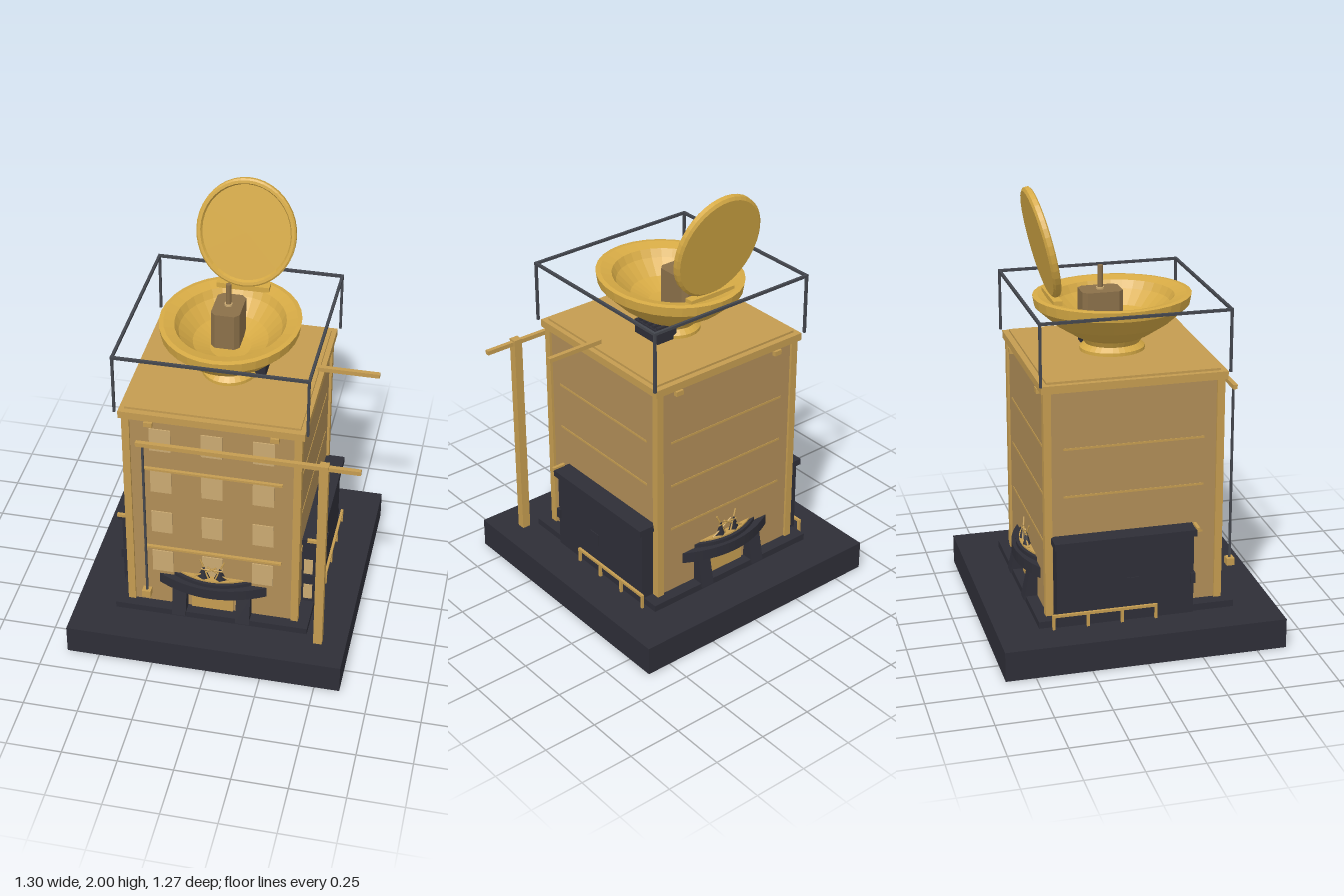
import * as THREE from 'three';

const mat = (name, color, extra = {}) => {
  const m = new THREE.MeshStandardMaterial({ color, ...extra });
  m.name = name;
  return m;
};

export function createModel() {
  const root = new THREE.Group();
  root.name = 'tower';
  const wall = mat('bronzeWall', 0xb08d57);
  const trim = mat('brassTrim', 0xc49c50);
  const gold = mat('goldBowl', 0xd6aa45, { flatShading: true, side: THREE.DoubleSide });
  const dark = mat('charcoal', 0x2e2e37);
  const pane = mat('paleWindow', 0xcaa971);
  const crate = mat('brownMachine', 0x8b7049);
  const rail = mat('slateRail', 0x43464d);

  // Everything but the cranes is centred on the tower's own axis
  const tower = new THREE.Group();
  tower.name = 'towerBody';
  tower.position.x = -0.0175;
  root.add(tower);

  const add = (parent, name, geo, m, x = 0, y = 0, z = 0) => {
    const mesh = new THREE.Mesh(geo, m);
    mesh.name = name;
    mesh.position.set(x, y, z);
    parent.add(mesh);
    return mesh;
  };
  // Box given by its limits on each axis
  const box = (parent, name, m, x0, x1, y0, y1, z0, z1) =>
    add(parent, name, new THREE.BoxGeometry(x1 - x0, y1 - y0, z1 - z0), m,
      (x0 + x1) / 2, (y0 + y1) / 2, (z0 + z1) / 2);
  // Thin square bar between two points
  const bar = (parent, name, m, a, b, r) => {
    const A = new THREE.Vector3(...a), B = new THREE.Vector3(...b);
    const mesh = add(parent, name, new THREE.CylinderGeometry(r, r, A.distanceTo(B), 6), m);
    mesh.position.copy(A).add(B).multiplyScalar(0.5);
    mesh.quaternion.setFromUnitVectors(new THREE.Vector3(0, 1, 0), B.sub(A).normalize());
    return mesh;
  };

  // Base, plinth, walls and roof
  box(tower, 'base', dark, -0.633, 0.633, 0, 0.137, -0.634, 0.634);
  box(tower, 'plinth', dark, -0.447, 0.447, 0.137, 0.168, -0.445, 0.445);
  box(tower, 'walls', wall, -0.385, 0.385, 0.168, 1.205, -0.392, 0.392);
  box(tower, 'roofSlab', trim, -0.409, 0.409, 1.205, 1.24, -0.413, 0.413);
  box(tower, 'roofDeck', trim, -0.386, 0.386, 1.24, 1.25, -0.386, 0.386);
  for (const sx of [-1, 1]) for (const sz of [-1, 1]) {
    add(tower, 'cornerPost', new THREE.BoxGeometry(0.034, 1.037, 0.034), trim, sx * 0.38, 0.6865, sz * 0.386);
    add(tower, 'eaveBracket', new THREE.BoxGeometry(0.038, 0.022, 0.02), trim, sx * 0.278, 1.183, sz * 0.4);
  }

  // Front windows and wall bands
  for (let c = -1; c <= 1; c++) for (let r = 0; r < 4; r++)
    add(tower, 'window', new THREE.BoxGeometry(0.095, 0.117, 0.008), pane, c * 0.23, 0.413 + r * 0.228, 0.393);
  for (const y of [0.495, 0.94])
    add(tower, 'frontBand', new THREE.BoxGeometry(0.63, 0.01, 0.02), trim, 0, y, 0.397);
  for (const y of [0.495, 0.72, 0.94]) {
    add(tower, 'backBand', new THREE.BoxGeometry(0.63, 0.01, 0.004), trim, 0, y, -0.392);
    for (const s of [-1, 1])
      add(tower, 'sideBand', new THREE.BoxGeometry(0.004, 0.01, 0.63), trim, s * 0.385, y, 0);
  }

  // Bow-fronted slab lying flat, bulging toward +z
  const bow = (half, z0, reach, h) => {
    const s = new THREE.Shape();
    s.moveTo(-half, -z0);
    s.quadraticCurveTo(0, -(2 * reach - z0), half, -z0);
    s.closePath();
    return new THREE.ExtrudeGeometry(s, { depth: h, bevelEnabled: false, curveSegments: 16 }).rotateX(-Math.PI / 2);
  };

  // Porch with ornament, on the front and the back
  const legShape = new THREE.Shape([[0.38, 0.15], [0.455, 0.15], [0.425, 0.29], [0.38, 0.29]]
    .map(([z, y]) => new THREE.Vector2(-z, y)));
  for (const side of [0, 1]) {
    const porch = new THREE.Group();
    porch.name = side ? 'backPorch' : 'frontPorch';
    porch.rotation.y = side * Math.PI;
    tower.add(porch);
    add(porch, 'porchSlab', bow(0.261, 0.385, 0.462, 0.052), dark, 0, 0.283, 0);
    add(porch, 'porchStep', bow(0.19, 0.385, 0.445, 0.018), dark, 0, 0.335, 0);
    add(porch, 'porchInlay', bow(0.16, 0.385, 0.43, 0.008), trim, 0, 0.353, 0);
    for (const s of [-1, 1]) {
      const geo = new THREE.ExtrudeGeometry(legShape, { depth: 0.065, bevelEnabled: false });
      geo.rotateY(Math.PI / 2).translate(s * 0.148 - 0.0325, 0, 0);
      add(porch, 'porchLeg', geo, dark);
      const cone = add(porch, 'ornamentPeak', new THREE.CylinderGeometry(0.004, 0.03, 0.06, 4), dark, s * 0.038, 0.391, 0.408);
      cone.scale.z = 0.6;
      bar(porch, 'ornamentStick', trim, [s * 0.085, 0.361, 0.41], [-s * 0.02, 0.425, 0.41], 0.004);
      bar(porch, 'ornamentStick', trim, [s * 0.015, 0.361, 0.415], [s * 0.055, 0.455, 0.4], 0.004);
    }
    bar(porch, 'ornamentBar', trim, [-0.05, 0.41, 0.41], [0.05, 0.41, 0.41], 0.004);
    box(porch, 'doorPanel', trim, -0.098, 0.095, 0.168, 0.285, 0.385, 0.4);
  }

  // Side annexes with small lit windows and a low fence
  for (const s of [-1, 1]) {
    const annex = new THREE.Group();
    annex.name = s > 0 ? 'leftAnnex' : 'rightAnnex';
    tower.add(annex);
    const sbox = (name, m, x0, x1, ...rest) =>
      box(annex, name, m, Math.min(s * x0, s * x1), Math.max(s * x0, s * x1), ...rest);
    sbox('annexBody', dark, 0.38, 0.456, 0.137, 0.515, -0.365, 0.255);
    sbox('annexRoof', dark, 0.38, 0.473, 0.51, 0.54, -0.375, 0.265);
    sbox('annexRoofTrim', trim, 0.41, 0.473, 0.535, 0.55, 0.262, 0.277);
    sbox('annexBelt', dark, 0.4, 0.465, 0.282, 0.33, 0.24, 0.262);
    for (const y of [0.187, 0.335])
      sbox('annexWindow', pane, 0.395, 0.436, y, y + 0.083, 0.253, 0.259);
    sbox('annexPlaque', dark, 0.45, 0.46, 0.28, 0.34, -0.05, 0.01);
    sbox('fenceRail', trim, 0.465, 0.477, 0.194, 0.206, -0.39, 0.085);
    for (let i = 0; i < 4; i++) {
      const z = 0.079 - i * 0.1543;
      sbox('fencePost', trim, 0.465, 0.477, 0.137, 0.2, z - 0.006, z + 0.006);
    }
  }

  // Roof railing: one top frame on four posts
  for (const s of [-1, 1]) {
    add(tower, 'railTop', new THREE.BoxGeometry(0.855, 0.012, 0.012), rail, 0, 1.52, s * 0.418);
    add(tower, 'railTop', new THREE.BoxGeometry(0.012, 0.012, 0.836), rail, s * 0.421, 1.52, 0);
    for (const z of [-0.418, 0.418])
      add(tower, 'railPost', new THREE.BoxGeometry(0.011, 0.28, 0.011), rail, s * 0.421, 1.382, z);
  }

  // Oval bowl on a foot
  const pts = [[0, 1.25], [0.128, 1.25], [0.128, 1.265], [0.108, 1.285], [0.122, 1.31], [0.15, 1.325], [0.225, 1.38],
    [0.303, 1.46], [0.31, 1.505], [0.29, 1.508], [0.243, 1.495], [0.225, 1.46], [0.165, 1.40], [0.09, 1.365], [0, 1.355]];
  const bowl = add(tower, 'bowl', new THREE.LatheGeometry(pts.map(p => new THREE.Vector2(...p)), 32), gold, 0, 0, 0.002);
  bowl.scale.z = 1.143;

  // Tilted lid with a raised rim
  const lid = new THREE.Group();
  lid.name = 'lid';
  lid.position.set(0.003, 1.754, -0.317);
  lid.rotation.x = -0.226;
  tower.add(lid);
  const lidPts = [[0, -0.017], [0.212, -0.017], [0.224, -0.008], [0.224, 0.012], [0.217, 0.018],
    [0.205, 0.018], [0.198, 0.004], [0, 0.004]];
  const disc = new THREE.LatheGeometry(lidPts.map(p => new THREE.Vector2(...p)), 40);
  disc.rotateX(Math.PI / 2).scale(1, 1.11, 1);
  add(lid, 'lidDisc', disc, gold);
  box(tower, 'lidHinge', gold, -0.12, 0.12, 1.495, 1.52, -0.29, -0.25);

  // Chamfered machine and stick inside the bowl
  const cs = new THREE.Shape([[-0.064, -0.07], [-0.043, -0.091], [0.043, -0.091], [0.064, -0.07],
    [0.064, 0.07], [0.043, 0.091], [-0.043, 0.091], [-0.064, 0.07]].map(p => new THREE.Vector2(...p)));
  const block = new THREE.ExtrudeGeometry(cs, { depth: 0.17, bevelEnabled: false }).rotateX(-Math.PI / 2);
  add(tower, 'machineBlock', block, crate, -0.022, 1.365, -0.058);
  add(tower, 'machineStick', new THREE.CylinderGeometry(0.012, 0.012, 0.11, 12), crate, -0.022, 1.587, -0.058);
  add(tower, 'machineStickCollar', new THREE.CylinderGeometry(0.018, 0.018, 0.01, 12), pane, -0.022, 1.539, -0.058);

  // Dark motor box under the bowl
  box(tower, 'motorBox', dark, 0.06, 0.165, 1.25, 1.315, -0.115, 0.045);
  for (let i = 0; i < 5; i++)
    box(tower, 'motorFin', dark, 0.07, 0.16, 1.315, 1.328, -0.113 + i * 0.03, -0.098 + i * 0.03);

  // Roof boom and the front hoist
  box(root, 'roofBoom', trim, 0.372, 0.645, 1.29, 1.31, -0.01, 0.01);
  box(root, 'hoistMast', trim, 0.468, 0.508, 0.137, 1.148, 0.459, 0.497);
  box(root, 'hoistBeam', trim, -0.333, 0.645, 1.12, 1.14, 0.467, 0.487);
  box(root, 'hoistRope', rail, -0.308, -0.299, 0.3, 1.12, 0.472, 0.482);
  box(root, 'hoistWeight', trim, -0.325, -0.285, 0.27, 0.304, 0.459, 0.495);

  return root;
}
